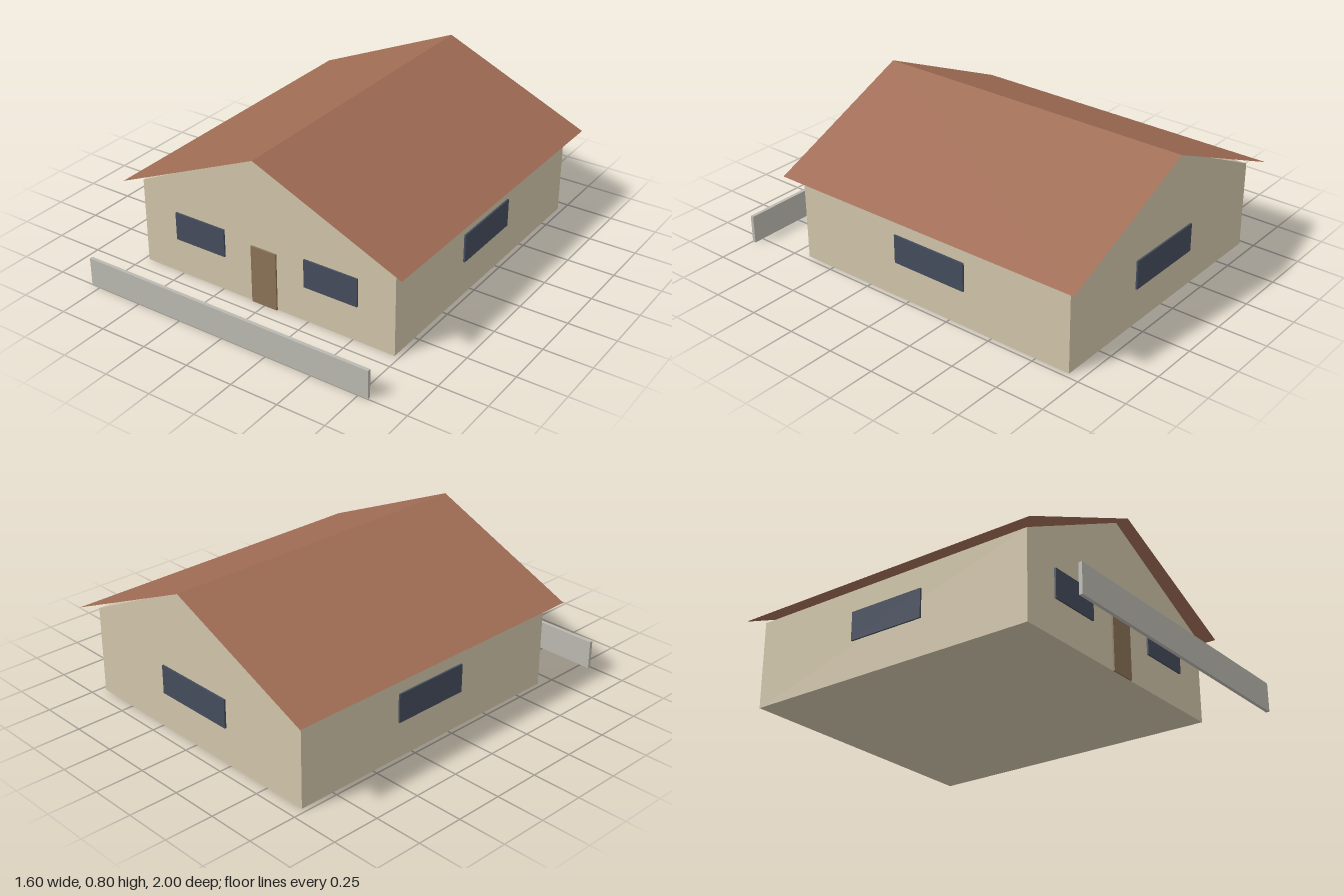
import * as THREE from 'three';

const material = (name, color, side = THREE.FrontSide) => {
  const m = new THREE.MeshStandardMaterial({ color, side });
  m.name = name;
  return m;
};

export function createModel() {
  const wall = material('cream wall', 0xd0c4aa);
  const roofing = material('terracotta roof', 0xa06c54, THREE.DoubleSide);
  const glass = material('dark glass', 0x444c5c);
  const wood = material('brown wood', 0x8b7257);
  const stone = material('grey stone', 0xbab8b0);

  const house = new THREE.Group();
  house.name = 'house';
  const add = (name, geometry, mat, x = 0, y = 0, z = 0) => {
    const mesh = new THREE.Mesh(geometry, mat);
    mesh.name = name;
    mesh.position.set(x, y, z);
    house.add(mesh);
    return mesh;
  };

  const halfWidth = 0.725, eave = 0.453, ridge = 0.8;
  const front = 0.669, back = -0.934, middle = (front + back) / 2;

  // Gabled body
  const gable = new THREE.Shape([
    new THREE.Vector2(-halfWidth, 0), new THREE.Vector2(halfWidth, 0),
    new THREE.Vector2(halfWidth, eave), new THREE.Vector2(0, ridge),
    new THREE.Vector2(-halfWidth, eave),
  ]);
  add('walls', new THREE.ExtrudeGeometry(gable, { depth: front - back, bevelEnabled: false }), wall, 0, 0, back);

  // Two thin roof sheets overhanging the walls, their outer faces upward
  const run = 0.795, drop = ridge - eave, roofFront = 0.736, roofBack = -1;
  for (const side of [-1, 1]) {
    const sheet = new THREE.PlaneGeometry(Math.hypot(run, drop), roofFront - roofBack);
    sheet.rotateX(-Math.PI / 2).rotateZ(-side * Math.atan2(drop, run));
    add(side < 0 ? 'rightRoof' : 'leftRoof', sheet, roofing,
      side * run / 2, (ridge + eave) / 2 + 0.0005, (roofFront + roofBack) / 2);
  }

  // Windows
  const windowY = 0.263, windowHeight = 0.148, plate = 0.009;
  for (const side of [-1, 1]) {
    const label = side < 0 ? 'right' : 'left';
    add(label + 'FrontWindow', new THREE.BoxGeometry(0.294, windowHeight, plate), glass,
      side * 0.378, windowY, front + plate / 2);
    add(label + 'SideWindow', new THREE.BoxGeometry(plate, windowHeight, 0.417), glass,
      side * (halfWidth + plate / 2), windowY, middle);
  }
  add('backWindow', new THREE.BoxGeometry(0.45, windowHeight, plate), glass, 0, windowY, back - plate / 2);

  // Door and free-standing front wall
  add('door', new THREE.BoxGeometry(0.144, 0.306, plate), wood, 0, 0.153, front + plate / 2);
  add('gardenWall', new THREE.BoxGeometry(1.6, 0.148, 0.018), stone, 0, 0.074, 0.991);

  return house;
}
